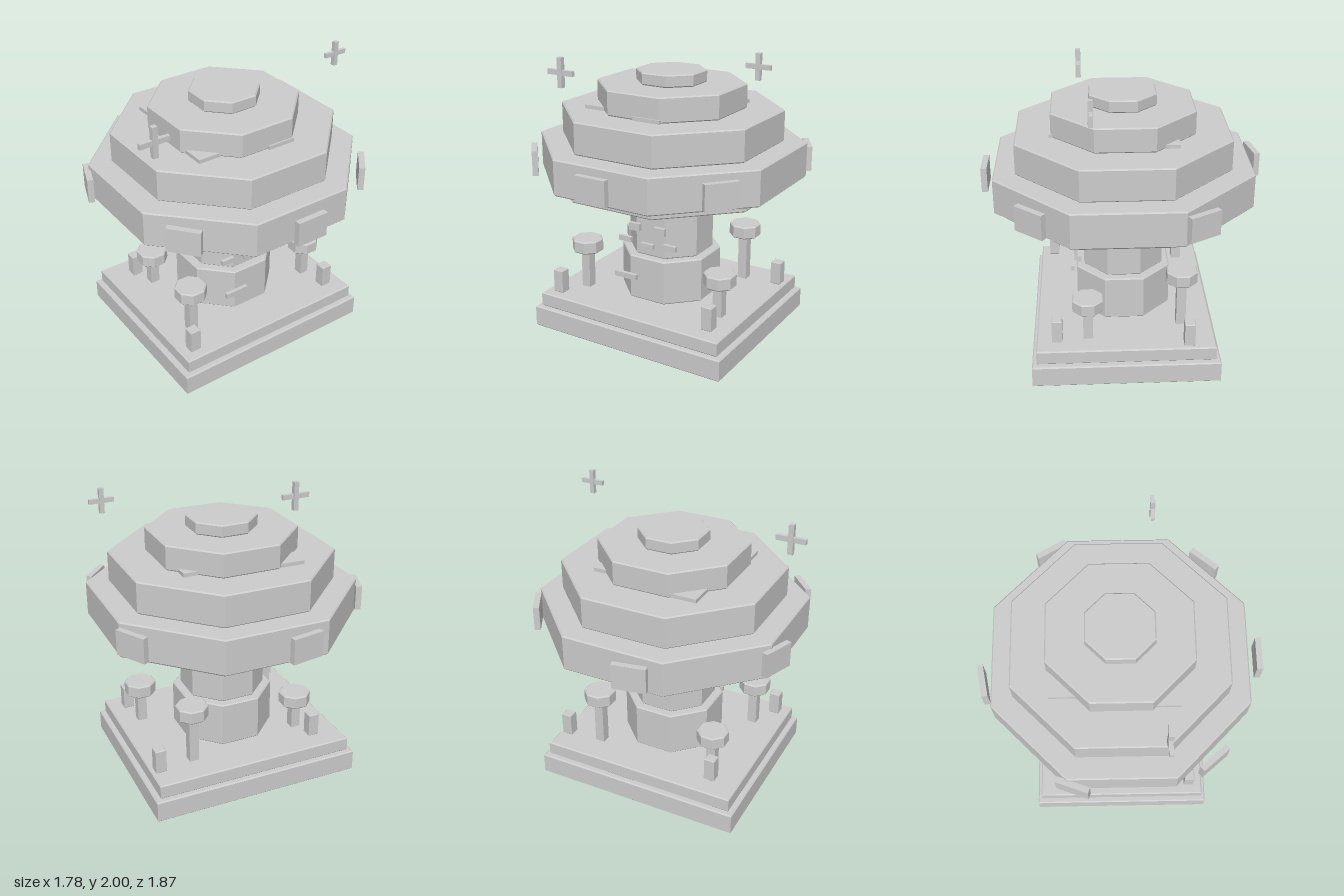
import * as THREE from 'three';

const CX = 0.0225; // axis of the trunk and base

export function createModel() {
  const model = new THREE.Group();
  const grey = new THREE.MeshStandardMaterial({ color: 0xcccccc });
  grey.name = 'plain grey';

  function add(name, geometry, x, y, z, yaw = 0) {
    const mesh = new THREE.Mesh(geometry, grey);
    mesh.name = name;
    mesh.position.set(x, y, z);
    mesh.rotation.y = yaw;
    model.add(mesh);
    return mesh;
  }
  const box = (name, w, h, d, x, y, z, yaw) =>
    add(name, new THREE.BoxGeometry(w, h, d), x, y, z, yaw);

  // Upright prism with narrow chamfered edges, standing on its origin
  function prism(points, height, bevel = 0.008) {
    const geometry = new THREE.ExtrudeGeometry(new THREE.Shape(points), {
      depth: height - 2 * bevel, bevelEnabled: true, bevelSegments: 1,
      bevelSize: bevel, bevelThickness: bevel, bevelOffset: -bevel,
    });
    return geometry.translate(0, 0, bevel).rotateX(-Math.PI / 2);
  }
  const rect = (w, d) => [[-1, -1], [1, -1], [1, 1], [-1, 1]]
    .map(([x, y]) => new THREE.Vector2(x * w / 2, y * d / 2));
  // Octagon given by the distance from its centre to its sides
  const octagon = (apothem) => Array.from({ length: 8 }, (_, i) => {
    const a = (i + 0.5) * Math.PI / 4, r = apothem / Math.cos(Math.PI / 8);
    return new THREE.Vector2(r * Math.cos(a), r * Math.sin(a));
  });

  // Stepped base
  add('base', prism(rect(1.455, 1.245), 0.15), CX, 0, 0);
  add('baseTop', prism(rect(1.385, 1.185), 0.1), CX, 0.15, 0);

  // Trunk and cap tiers: name, apothem, bottom, top
  [
    ['trunkFoot', 0.3175, 0.25, 0.56],
    ['trunk', 0.2675, 0.56, 1.025],
    ['capRim', 0.72, 1.025, 1.095],
    ['capLower', 0.835, 1.095, 1.335],
    ['capMiddle', 0.693, 1.335, 1.55],
    ['capUpper', 0.463, 1.55, 1.715],
    ['capKnob', 0.218, 1.715, 1.798],
  ].forEach(([name, apothem, y0, y1]) =>
    add(name, prism(octagon(apothem), y1 - y0), CX, y0, 0));

  // Panels around the cap
  for (const degrees of [0, 50, 120, 190, 250, 310]) {
    const a = THREE.MathUtils.degToRad(degrees);
    box('capPanel', 0.22, 0.167, 0.04,
      CX + 0.912 * Math.sin(a), 1.217, 0.912 * Math.cos(a), a);
  }

  // Flat patches on the middle tier
  for (const [x, z] of [[-0.255, -0.35], [0.33, -0.245], [-0.32, 0.27], [0.127, 0.377]]) {
    box('capPatch', 0.195, 0.03, 0.195, x, 1.56, z);
  }

  // Floating blocks in front of the trunk: width, height, x, y, z
  for (const [w, h, x, y, z] of [
    [0.17, 0.037, 0.145, 0.925, 0.353],
    [0.17, 0.037, -0.12, 0.422, 0.353],
    [0.083, 0.052, -0.077, 0.768, 0.303],
    [0.083, 0.052, 0.117, 0.768, 0.303],
    [0.095, 0.037, -0.156, 0.665, 0.298],
    [0.095, 0.037, 0.194, 0.665, 0.298],
    [0.095, 0.033, 0.02, 0.647, 0.303],
  ]) box('trunkBlock', w, h, 0.026, x, y, z);

  // Small mushrooms: x, z, height
  for (const [x, z, top] of [
    [-0.467, 0.315, 0.61], [-0.41, -0.28, 0.525],
    [0.405, -0.38, 0.668], [0.545, 0.25, 0.557],
  ]) {
    const stem = top - 0.08 - 0.25;
    box('mushroomStem', 0.065, stem, 0.065, x, 0.25 + stem / 2, z);
    add('mushroomCap', prism(octagon(0.101), 0.09), x, top - 0.09, z);
  }

  // Posts near the corners
  for (const [x, z] of [[-0.57, 0.495], [0.58, 0.455], [0.653, -0.415], [-0.47, -0.43]]) {
    add('post', prism(rect(0.074, 0.07), 0.165, 0.005), x, 0.25, z);
  }

  // Floating crosses: x, y, z, span, thickness
  for (const [x, y, z, span, t] of [
    [0.755, 1.92, 0.213, 0.163, 0.03], [-0.675, 1.745, 0.283, 0.207, 0.036],
  ]) {
    box('crossUpright', t, span, t, x, y, z);
    box('crossBar', span, t, t * 0.75, x, y, z);
  }

  return model;
}
